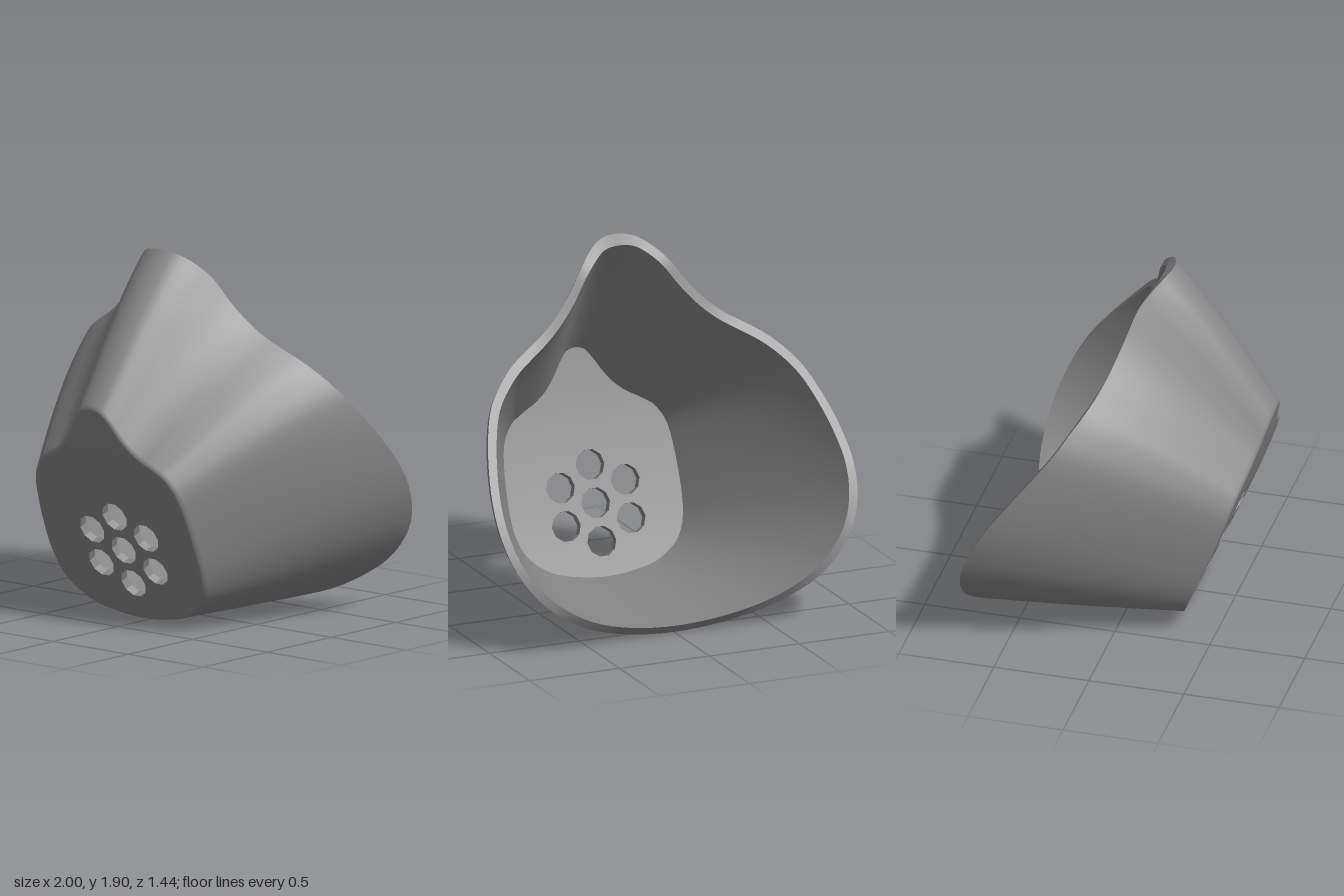
import * as THREE from 'three';

const material = new THREE.MeshStandardMaterial({ color: 0x868686, side: THREE.DoubleSide });
const AROUND = 152, ALONG = 12, THICK = 0.045, LIP = 0.014;
const TILT = Math.atan2(0.43, 1.153), FACE_LEN = 1.23, FACE_BASE = 0.012;

// Half outline, top centre to bottom centre: rim x, y, z, then face x, y
const HALF = [
  [0, 1.905, 0.18, 0, 1.165], [0.1, 1.89, 0.155, 0.07, 1.145],
  [0.18, 1.84, 0.105, 0.12, 1.09], [0.25, 1.77, 0.055, 0.16, 1.03],
  [0.33, 1.66, 0.018, 0.21, 0.97], [0.41, 1.57, -0.012, 0.27, 0.925],
  [0.5, 1.495, -0.04, 0.32, 0.9], [0.6, 1.435, -0.07, 0.365, 0.875],
  [0.7, 1.375, -0.11, 0.405, 0.85], [0.79, 1.3, -0.165, 0.44, 0.81],
  [0.86, 1.22, -0.22, 0.465, 0.77], [0.91, 1.13, -0.29, 0.483, 0.72],
  [0.97, 0.96, -0.425, 0.497, 0.63], [1, 0.78, -0.555, 0.505, 0.5],
  [0.985, 0.62, -0.64, 0.505, 0.38], [0.93, 0.47, -0.695, 0.495, 0.29],
  [0.83, 0.33, -0.716, 0.465, 0.2], [0.72, 0.23, -0.708, 0.41, 0.13],
  [0.5, 0.1, -0.64, 0.3, 0.06], [0.25, 0.025, -0.58, 0.15, 0.024],
  [0, 0, -0.56, 0, FACE_BASE],
];

// The front face is a tilted plane with a slight bow along its height
const bow = (v) => 0.1 * (v / FACE_LEN) * (1 - v / FACE_LEN);
const bowSlope = (v) => 0.1 * (1 - 2 * v / FACE_LEN) / FACE_LEN;
const toSlope = (y) => (y - FACE_BASE) / Math.cos(TILT);
const placeFace = new THREE.Matrix4().makeRotationX(TILT).setPosition(0, FACE_BASE, 0.29);
const onFace = (p) => new THREE.Vector3(p.x, p.y, bow(p.y)).applyMatrix4(placeFace);

// Smooth closed ring through a half outline and its mirror image
function ring(half) {
  const mirrored = half.slice(1, -1).reverse().map((p) => new THREE.Vector3(-p.x, p.y, p.z));
  const curve = new THREE.CatmullRomCurve3([...half, ...mirrored], true);
  return Array.from({ length: AROUND }, (_, i) => curve.getPoint(i / AROUND));
}

// Ring moved inward in x and y
function inset(points, distance) {
  const n = points.length;
  return points.map((p, i) => {
    const along = points[(i + 1) % n].clone().sub(points[(i + n - 1) % n]).setZ(0).normalize();
    return new THREE.Vector3(p.x + along.y * distance, p.y - along.x * distance, p.z);
  });
}

// Depth of the back opening at a height
function rimDepth(rim, y) {
  const k = Math.max(1, rim.findIndex((p) => p.y <= y));
  const a = rim[k - 1], b = rim[k];
  return THREE.MathUtils.mapLinear(y, a.y, b.y, a.z, b.z);
}

// Surface through a list of closed rings
function loft(rings) {
  const n = rings[0].length, index = [];
  for (let r = 0; r < rings.length - 1; r++) {
    for (let i = 0; i < n; i++) {
      const a = r * n + i, b = r * n + (i + 1) % n;
      index.push(a, a + n, b, b, a + n, b + n);
    }
  }
  const geometry = new THREE.BufferGeometry().setFromPoints(rings.flat());
  geometry.setIndex(index);
  geometry.computeVertexNormals();
  return geometry;
}

// Front plate with a hexagonal cluster of vent holes
function facePlate(outline) {
  const shape = new THREE.Shape(outline.map((p) => new THREE.Vector2(p.x, p.y)));
  const centre = toSlope(0.395), radius = 0.08;
  const addHole = (x, y) => shape.holes.push(new THREE.Path(
    Array.from({ length: 10 }, (_, i) => new THREE.Vector2(
      x + radius * Math.cos(i * Math.PI / 5), y + radius * Math.sin(i * Math.PI / 5)))));
  addHole(0, centre);
  for (let k = 0; k < 6; k++) {
    const angle = Math.PI / 2 + k * Math.PI / 3;
    addHole(0.208 * Math.cos(angle), centre + 0.197 * Math.sin(angle));
  }
  const geometry = new THREE.ExtrudeGeometry(shape, { depth: THICK, bevelEnabled: false });
  const pos = geometry.attributes.position, normal = geometry.attributes.normal;
  for (let i = 0; i < pos.count; i++) {
    const v = pos.getY(i), side = normal.getZ(i);
    pos.setZ(i, pos.getZ(i) - THICK + bow(v));
    if (Math.abs(side) > 0.5) {
      const n = new THREE.Vector3(0, -bowSlope(v), 1).normalize().multiplyScalar(Math.sign(side));
      normal.setXYZ(i, n.x, n.y, n.z);
    }
  }
  return geometry.applyMatrix4(placeFace);
}

export function createModel() {
  const group = new THREE.Group();
  group.name = 'ventedCup';
  const add = (name, geometry) => {
    const mesh = new THREE.Mesh(geometry, material);
    mesh.name = name;
    group.add(mesh);
  };

  const rim = ring(HALF.map(([x, y, z]) => new THREE.Vector3(x, y, z)));
  const faceOutline = ring(HALF.map((p) => new THREE.Vector3(p[3], toSlope(p[4]), 0)));
  const plateOutline = inset(faceOutline, LIP);
  const faceRing = faceOutline.map(onFace);

  // Outer wall: rim to face, bulging a little, with a softened turn onto the face
  const steps = [...Array.from({ length: ALONG }, (_, r) => r / ALONG), 0.98, 1];
  const outer = steps.map((t) => rim.map((p, i) => {
    const q = p.clone().lerp(faceRing[i], t), bulge = t * (1 - t);
    q.x *= 1 + 0.12 * bulge;
    q.y *= 1 + 0.09 * bulge;
    return q;
  }));
  add('outerWall', loft([...outer, plateOutline.map(onFace)]));

  // Inner wall: moved in along the normals, its back edge kept on the rim surface
  const normals = loft(outer).attributes.normal;
  const moveIn = (p, r, i) => p.clone().addScaledVector(
    new THREE.Vector3().fromBufferAttribute(normals, r * AROUND + i), -THICK);
  const correction = inset(rim, THICK).map((p, i) =>
    p.setZ(rimDepth(rim, p.y)).sub(moveIn(rim[i], 0, i)));
  const inner = outer.map((row, r) => row.map((p, i) =>
    moveIn(p, r, i).addScaledVector(correction[i], 1 - steps[r])));
  add('innerWall', loft([...inner].reverse()));

  // Edge joining the two walls at the back opening
  add('rimEdge', loft([inner[0], outer[0]]));

  add('ventPlate', facePlate(plateOutline));
  return group;
}
